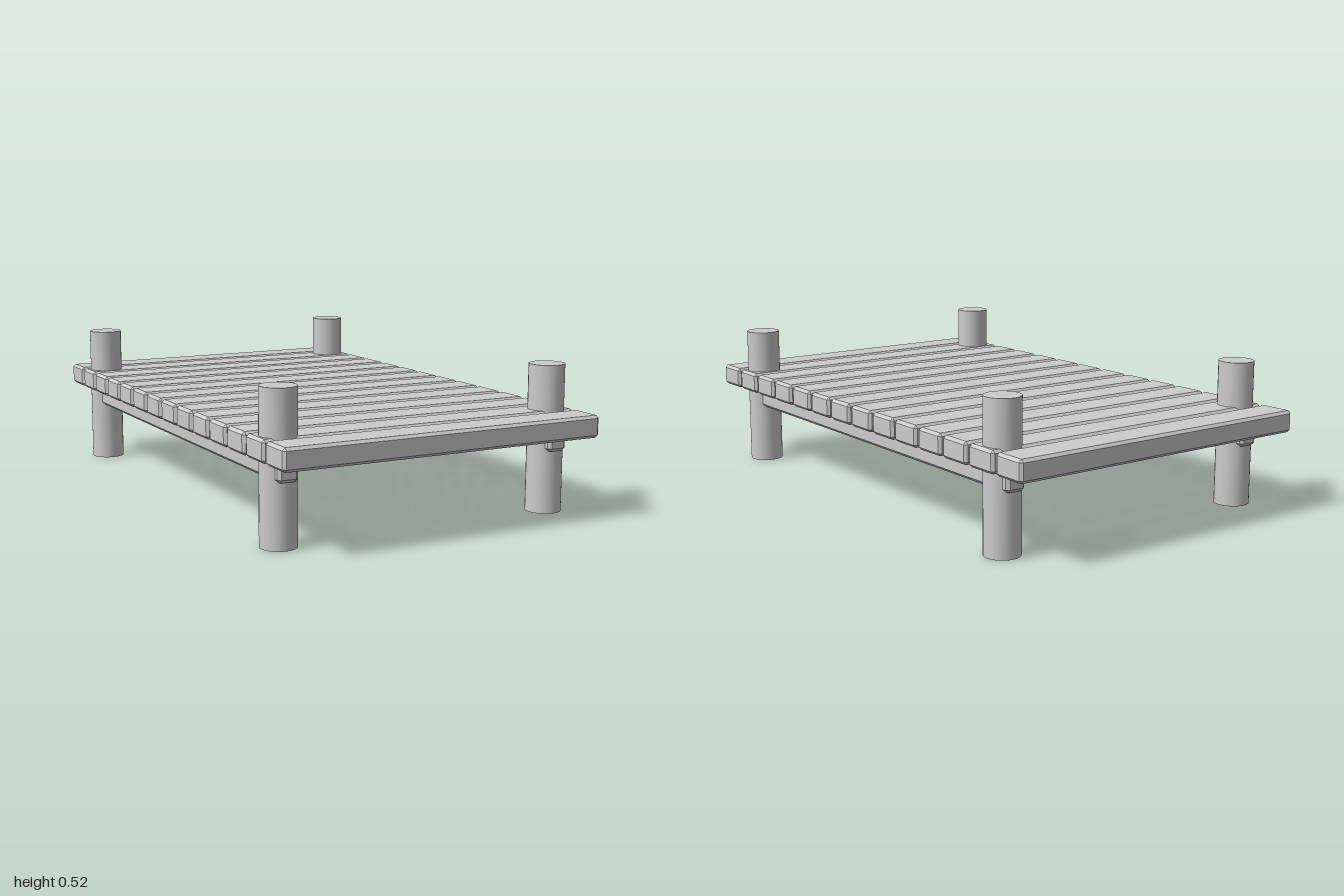
import * as THREE from 'three';
import { ConvexGeometry } from 'three/addons/geometries/ConvexGeometry.js';

// Box with every edge and corner cut by a flat chamfer
function chamferedBox(w, h, d, c) {
  const points = [];
  for (const sx of [-1, 1]) for (const sy of [-1, 1]) for (const sz of [-1, 1]) {
    const x = w / 2, y = h / 2, z = d / 2;
    points.push(
      new THREE.Vector3(sx * x, sy * (y - c), sz * (z - c)),
      new THREE.Vector3(sx * (x - c), sy * y, sz * (z - c)),
      new THREE.Vector3(sx * (x - c), sy * (y - c), sz * z)
    );
  }
  return new ConvexGeometry(points);
}

export function createModel() {
  const model = new THREE.Group();
  model.name = 'dock';
  const grey = new THREE.MeshStandardMaterial({ color: 0xcccccc });
  grey.name = 'grey wood';

  function add(name, geometry, x, y, z) {
    const mesh = new THREE.Mesh(geometry, grey);
    mesh.name = name;
    mesh.position.set(x, y, z);
    model.add(mesh);
  }

  // Deck planks, evenly spaced along the length
  const count = 14, plankDepth = 0.13;
  const pitch = (2 - plankDepth) / (count - 1);
  const plank = chamferedBox(1.2, 0.078, plankDepth, 0.01);
  for (let i = 0; i < count; i++) {
    add(`plank${i + 1}`, plank, 0, 0.324, -1 + plankDepth / 2 + i * pitch);
  }

  // Beams under the deck and round posts through it
  const beam = chamferedBox(0.074, 0.074, 1.756, 0.011);
  const post = new THREE.CylinderGeometry(0.063, 0.063, 0.522, 32);
  for (const [side, sx] of [['left', 1], ['right', -1]]) {
    add(`${side}Beam`, beam, sx * 0.52, 0.259, 0);
    for (const [end, sz] of [['Front', 1], ['Back', -1]]) {
      add(`${side}${end}Post`, post, sx * 0.52, 0.261, sz * 0.802);
    }
  }
  return model;
}
